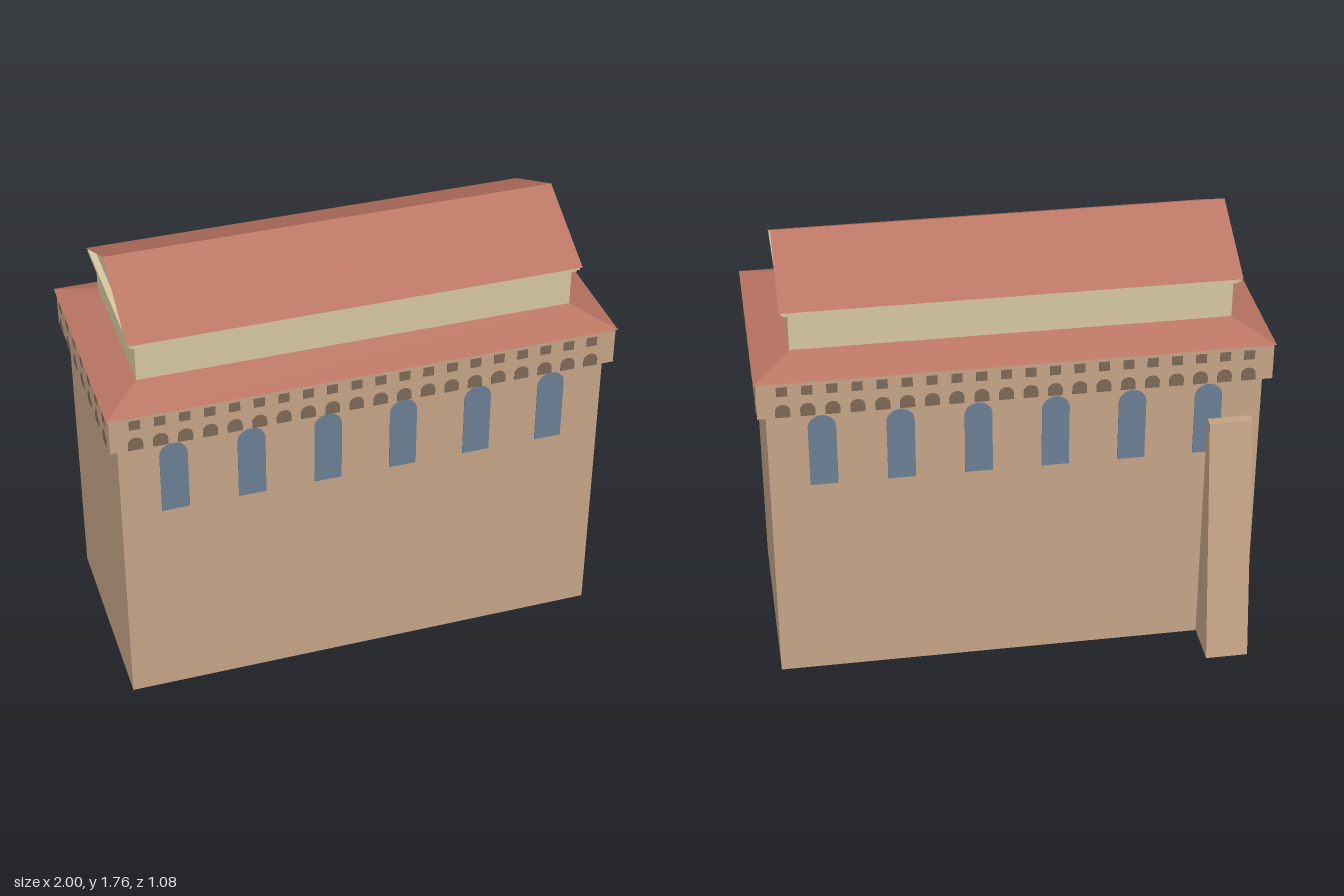
import * as THREE from 'three';

const CZ = 0.078; // centre line of the hall along z

const material = (name, color, side = THREE.FrontSide) => {
  const m = new THREE.MeshStandardMaterial({ color, side });
  m.name = name;
  return m;
};

// Box whose top face may be smaller than its base
function taperedBox(w, d, h, topW = w, topD = d) {
  const g = new THREE.BoxGeometry(w, h, d).toNonIndexed();
  const p = g.attributes.position;
  for (let i = 0; i < p.count; i++) {
    if (p.getY(i) > 0) {
      p.setX(i, Math.sign(p.getX(i)) * topW / 2);
      p.setZ(i, Math.sign(p.getZ(i)) * topD / 2);
    }
  }
  g.translate(0, h / 2, 0);
  g.computeVertexNormals();
  return g;
}

// Round-headed opening standing on y = 0
function archShape(w, h) {
  const r = w / 2;
  const s = new THREE.Shape();
  s.moveTo(-r, 0);
  s.lineTo(r, 0);
  s.lineTo(r, h - r);
  s.absarc(0, h - r, r, 0, Math.PI, false);
  s.lineTo(-r, 0);
  return s;
}

// Extrude a (z, y) outline along x, centred on x = 0
function extrudeAlongX(points, width) {
  const s = new THREE.Shape(points.map(([z, y]) => new THREE.Vector2(-z, y)));
  const g = new THREE.ExtrudeGeometry(s, { depth: width, bevelEnabled: false });
  g.translate(0, 0, -width / 2);
  g.rotateY(Math.PI / 2);
  return g;
}

export function createModel() {
  const model = new THREE.Group();
  model.name = 'hall';
  const stone = material('stone', 0xc4a386);
  const wallStone = stone;
  wallStone.side = THREE.DoubleSide; // the walls are open underneath
  const darkStone = material('darkOpening', 0x7d6856);
  const plaster = material('plaster', 0xd6c7a0);
  const tile = material('roofTile', 0xb87361, THREE.DoubleSide);
  const glass = material('windowGlass', 0x6a7f94);

  const add = (name, geometry, mat, x = 0, y = 0, z = 0, parent = model) => {
    const mesh = new THREE.Mesh(geometry, mat);
    mesh.name = name;
    mesh.position.set(x, y, z);
    parent.add(mesh);
    return mesh;
  };

  // Main walls: four planes, open at the bottom
  const W = 1.92, D = 0.85, H = 1.208;
  const walls = new THREE.Group();
  walls.name = 'mainWalls';
  model.add(walls);
  for (let i = 0; i < 4; i++) {
    const [len, off] = i % 2 ? [D, W / 2] : [W, D / 2];
    const g = new THREE.PlaneGeometry(len, H);
    g.translate(0, H / 2, off);
    g.rotateY(i * Math.PI / 2);
    add('wall', g, wallStone, 0, 0, CZ, walls);
  }

  // Projecting gallery and the skirt roof above it
  const GW = 1.984, GD = 0.908;
  add('gallery', taperedBox(GW, GD, 0.15), stone, 0, H, CZ);
  add('lowerRoof', taperedBox(2, 0.92, 0.062, 1.704, 0.638), tile, 0, 1.358, CZ);

  // Upper storey with a stepped cornice and gables
  add('upperStorey', taperedBox(1.704, 0.638, 0.155), plaster, 0, 1.418, CZ);
  add('corniceLower', taperedBox(1.736, 0.66, 0.012), plaster, 0, 1.568, CZ);
  add('corniceUpper', taperedBox(1.754, 0.678, 0.014), plaster, 0, 1.58, CZ);
  add('gables', extrudeAlongX([[0.32, 1.59], [0, 1.748], [-0.32, 1.59]], 1.704), plaster, 0, 0, CZ);

  // Thin pitched roof: one sheet per slope
  for (const side of [1, -1]) {
    const run = 0.347, rise = 0.172;
    const g = new THREE.PlaneGeometry(1.768, Math.hypot(run, rise));
    g.rotateX(-Math.PI / 2 + Math.atan2(rise, run));
    g.translate(0, 1.593 + rise / 2, run / 2);
    if (side < 0) g.rotateY(Math.PI);
    add(side > 0 ? 'upperRoofFront' : 'upperRoofBack', g, tile, 0, 0, CZ);
  }

  // Sloping buttress at the back
  add('buttress', extrudeAlongX([[-0.34, 0], [-0.34, 1.03], [-0.39, 1.03], [-0.538, 0]], 0.171), stone, -0.8365, 0, 0);

  // Openings, built once per side as thin plates
  const plate = { depth: 0.003, bevelEnabled: false, curveSegments: 10 };
  const windowGeo = new THREE.ExtrudeGeometry(archShape(0.108, 0.309), plate);
  const archGeo = new THREE.ExtrudeGeometry(archShape(0.057, 0.054), plate);
  const squareGeo = new THREE.BoxGeometry(0.042, 0.039, 0.003);

  for (let i = 0; i < 4; i++) {
    const long = i % 2 === 0;
    const face = new THREE.Group();
    face.name = ['frontOpenings', 'leftOpenings', 'backOpenings', 'rightOpenings'][i];
    face.position.z = CZ;
    face.rotation.y = i * Math.PI / 2;
    model.add(face);

    const count = long ? 20 : 7;
    const step = long ? 0.0943 : 0.126;
    const out = (long ? GD : GW) / 2;
    for (let k = 0; k < count; k++) {
      const x = (k - (count - 1) / 2) * step;
      add('galleryArch', archGeo, darkStone, x, 1.21, out, face);
      add('gallerySquare', squareGeo, darkStone, x, 1.321, out + 0.0015, face);
    }
    for (let k = 0; long && k < 6; k++) {
      add('archedWindow', windowGeo, glass, (k - 2.5) * 0.3, 0.879, D / 2, face);
    }
  }
  return model;
}
